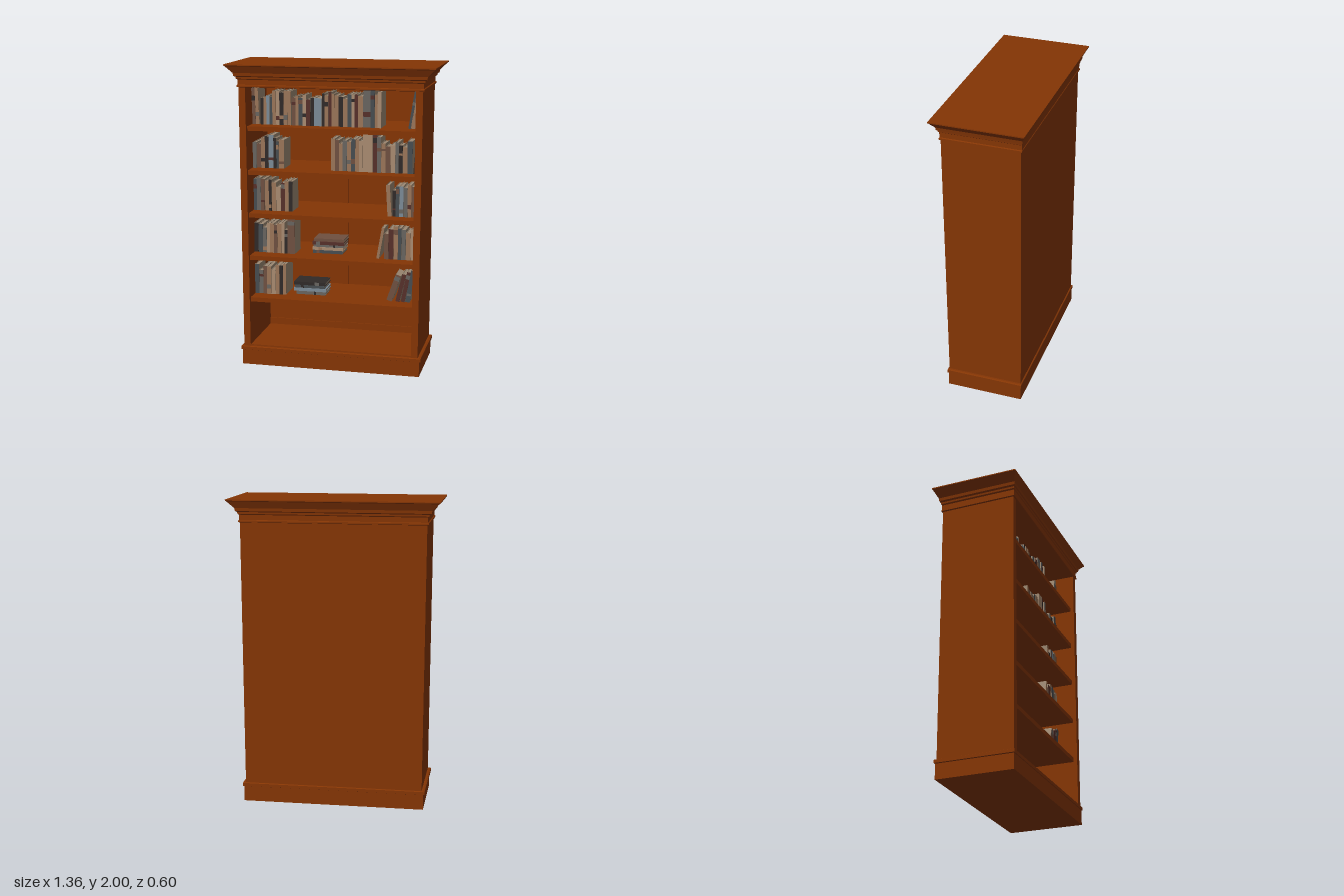
import * as THREE from 'three';

const mat = (name, color) => {
  const m = new THREE.MeshStandardMaterial({ color });
  m.name = name;
  return m;
};

export function createModel() {
  const model = new THREE.Group();
  model.name = 'bookcase';

  const wood = mat('wood', 0x843504);
  const pages = mat('pages', 0x9c8872);
  const tan = mat('tan cover', 0x9a7558);
  const brown = mat('brown cover', 0x6f5040);
  const maroon = mat('maroon cover', 0x56302a);
  const dark = mat('dark cover', 0x302a28);
  const grey = mat('grey cover', 0x68645f);
  const blue = mat('blue grey cover', 0x7b8a96);
  const slate = mat('slate cover', 0x464c50);
  const sand = mat('sand cover', 0xa88a70);
  // One letter per cover colour, used to describe the rows of books
  const covers = { t: tan, b: brown, m: maroon, d: dark, g: grey, u: blue, s: slate, a: sand };
  const trims = [brown, dark, tan, grey, maroon];

  let seed = 7;
  const rand = () => (seed = (seed * 16807) % 2147483647) / 2147483647;

  // Box given by its minimum and maximum corners
  function box(parent, name, material, x0, x1, y0, y1, z0, z1) {
    const mesh = new THREE.Mesh(new THREE.BoxGeometry(x1 - x0, y1 - y0, z1 - z0), material);
    mesh.position.set((x0 + x1) / 2, (y0 + y1) / 2, (z0 + z1) / 2);
    mesh.name = name;
    parent.add(mesh);
    return mesh;
  }

  // Rectangular moulding: profile of [outward offset, height], capped at both ends
  function moulding(name, profile) {
    const rings = profile.map(([d, y]) => {
      const hx = 0.592 + d, hz = 0.252 + d * 0.5;
      return [[-hx, y, hz], [hx, y, hz], [hx, y, -hz], [-hx, y, -hz]];
    });
    const pos = [];
    const quad = (a, b, c, d) => pos.push(...a, ...b, ...c, ...a, ...c, ...d);
    for (let i = 0; i < rings.length - 1; i++) {
      for (let j = 0; j < 4; j++) {
        const k = (j + 1) % 4;
        quad(rings[i][j], rings[i][k], rings[i + 1][k], rings[i + 1][j]);
      }
    }
    const first = rings[0], last = rings[rings.length - 1];
    quad(first[3], first[2], first[1], first[0]);
    quad(...last);
    const geo = new THREE.BufferGeometry();
    geo.setAttribute('position', new THREE.Float32BufferAttribute(pos, 3));
    geo.computeVertexNormals();
    const mesh = new THREE.Mesh(geo, wood);
    mesh.name = name;
    model.add(mesh);
  }

  // Plinth and stepped crown
  moulding('base', [[0.003, 0], [0.003, 0.1], [0.013, 0.102], [0.013, 0.122], [0.004, 0.126]]);
  moulding('crown', [
    [0.004, 1.853], [0.013, 1.856], [0.013, 1.866], [0.007, 1.87], [0.007, 1.902],
    [0.016, 1.908], [0.018, 1.92], [0.03, 1.926], [0.034, 1.945], [0.079, 1.988],
    [0.087, 1.993], [0.087, 2],
  ]);

  // Side panels, leaning out slightly toward the top
  for (const s of [-1, 1]) {
    const side = box(model, s > 0 ? 'leftSide' : 'rightSide', wood,
      s * 0.568 - 0.022, s * 0.568 + 0.022, 0.11, 1.86, -0.25, 0.25);
    side.rotation.z = -s * 0.006;
  }

  // Back panel with its central stile and rails
  box(model, 'backPanel', wood, -0.575, 0.575, 0.12, 1.86, -0.25, -0.235);
  box(model, 'backStile', wood, -0.019, 0.019, 0.13, 1.86, -0.236, -0.226);
  box(model, 'backRail', wood, -0.55, 0.55, 0.13, 0.18, -0.236, -0.226);
  box(model, 'floorBoard', wood, -0.55, 0.55, 0.12, 0.135, -0.24, 0.24);

  // Shelves
  const shelfTop = [1.6, 1.312, 1.028, 0.742, 0.457];
  shelfTop.forEach((y) => box(model, 'shelf', wood, -0.548, 0.548, y - 0.029, y, -0.24, 0.225));

  // Book standing on the origin, its spine facing +z
  function book(w, h, depth, cover, board = pages) {
    const g = new THREE.Group();
    g.name = 'book';
    const t = Math.min(0.003, w * 0.15), x = w / 2;
    box(g, 'coverBoard', board, -x, -x + t, 0, h, -depth, -t);
    box(g, 'coverBoard', board, x - t, x, 0, h, -depth, -t);
    box(g, 'spine', cover, -x, x, 0, h, -t, 0);
    box(g, 'pageBlock', pages, -x + t, x - t, 0.003, h - 0.004, -depth + 0.004, -t);
    // Coloured label on some spines
    if (rand() < 0.55) {
      const low = h * (rand() < 0.5 ? 0.08 + rand() * 0.2 : 0.6 + rand() * 0.2);
      const trim = trims[Math.floor(rand() * trims.length)];
      box(g, 'spineLabel', trim, -x, x, low, low + h * (0.06 + rand() * 0.1), 0, 0.001);
    }
    model.add(g);
    return g;
  }

  // Upright books filling x0..x1, heights in hundredths, one colour letter each
  function row(shelf, x0, x1, heights, colors) {
    const widths = heights.map(() => 0.8 + rand() * 0.5);
    const scale = (x1 - x0) / widths.reduce((a, b) => a + b);
    let x = x0;
    heights.forEach((h, i) => {
      const w = widths[i] * scale;
      const b = book(w - 0.001, h / 100, 0.15 + rand() * 0.03, covers[colors[i]]);
      b.position.set(x + w / 2, shelfTop[shelf], 0.125 - rand() * 0.012);
      x += w;
    });
  }

  // Book leaning toward +x
  function leaning(shelf, x, w, h, angle, cover) {
    const b = book(w, h, 0.16, cover);
    b.rotation.z = -angle;
    b.position.set(x, shelfTop[shelf] + Math.abs(Math.sin(angle)) * w / 2, 0.12);
  }

  // Books lying flat
  function stack(shelf, x, z, items) {
    let y = shelfTop[shelf];
    items.forEach(([w, len, cover, shift]) => {
      const b = book(w - 0.001, len, 0.15, cover, cover);
      b.rotation.z = -Math.PI / 2;
      b.position.set(x + shift, y + w / 2, z - shift * 0.5);
      y += w;
    });
  }

  // Top shelf
  leaning(0, -0.532, 0.022, 0.235, -0.03, brown);
  leaning(0, -0.508, 0.022, 0.235, -0.04, tan);
  row(0, -0.49, -0.41, [17, 18, 19, 18], 'dtus');
  row(0, -0.41, -0.285, [22, 22, 21, 22, 22], 'tadtt');
  row(0, -0.28, -0.13, [18, 19, 18, 20, 17, 18], 'btsamd');
  row(0, -0.13, -0.08, [18], 'u');
  row(0, -0.08, 0.03, [21, 20, 22, 21, 20], 'dtmtt');
  row(0, 0.03, 0.19, [19, 18, 21, 21, 21, 20], 'dtsamt');
  row(0, 0.19, 0.24, [25], 'g');
  row(0, 0.24, 0.31, [24, 21, 23], 'sta');
  leaning(0, 0.492, 0.017, 0.235, 0.16, slate);
  leaning(0, 0.514, 0.027, 0.24, 0.13, tan);

  // Second shelf
  row(1, -0.545, -0.44, [17, 16, 20, 21], 'gbtd');
  row(1, -0.44, -0.405, [22], 'u');
  row(1, -0.405, -0.37, [20, 18], 'ds');
  row(1, -0.37, -0.335, [19], 't');
  row(1, -0.02, 0.19, [21, 20, 18, 20, 19, 21, 21, 20], 'tbtgtsta');
  row(1, 0.19, 0.255, [25], 'a');
  row(1, 0.255, 0.31, [25, 23], 'mg');
  row(1, 0.31, 0.37, [19, 17], 'tb');
  row(1, 0.37, 0.515, [18, 20, 18, 17, 21], 'agdts');
  leaning(1, 0.526, 0.014, 0.165, 0.08, dark);

  // Third shelf
  row(2, -0.545, -0.42, [21, 22, 21, 20, 21], 'sgbtd');
  row(2, -0.42, -0.28, [19, 16, 19, 20, 20], 'tamtd');
  leaning(2, 0.368, 0.026, 0.205, -0.06, tan);
  row(2, 0.385, 0.54, [17, 20, 20, 19, 21, 20], 'dsugtb');

  // Fourth shelf
  row(3, -0.545, -0.335, [20, 19, 17, 20, 20, 19, 20, 21], 'dsgatbta');
  row(3, -0.335, -0.315, [16], 'd');
  row(3, -0.315, -0.265, [25], 'b');
  stack(3, -0.16, 0.065, [
    [0.022, 0.2, slate, 0.005], [0.02, 0.21, sand, 0], [0.016, 0.2, grey, 0.008],
    [0.022, 0.215, maroon, 0], [0.02, 0.205, brown, 0.01],
  ]);
  leaning(3, 0.292, 0.018, 0.21, 0.17, tan);
  row(3, 0.335, 0.54, [17, 20, 22, 21, 20, 18, 20], 'bmtsgta');

  // Fifth shelf
  row(4, -0.545, -0.46, [20, 16, 19], 'sgb');
  row(4, -0.46, -0.4, [19, 17], 'ta');
  row(4, -0.4, -0.328, [20, 20, 21], 'tdt');
  stack(4, -0.285, 0.09, [
    [0.024, 0.2, grey, 0.018], [0.022, 0.22, blue, 0.003],
    [0.02, 0.205, slate, 0.008], [0.022, 0.215, dark, 0.004],
  ]);
  leaning(4, 0.37, 0.036, 0.185, 0.33, brown);
  leaning(4, 0.425, 0.026, 0.19, 0.24, maroon);
  leaning(4, 0.46, 0.026, 0.205, 0.2, maroon);
  leaning(4, 0.492, 0.03, 0.215, 0.17, slate);

  model.rotation.y = 0.007;
  return model;
}
